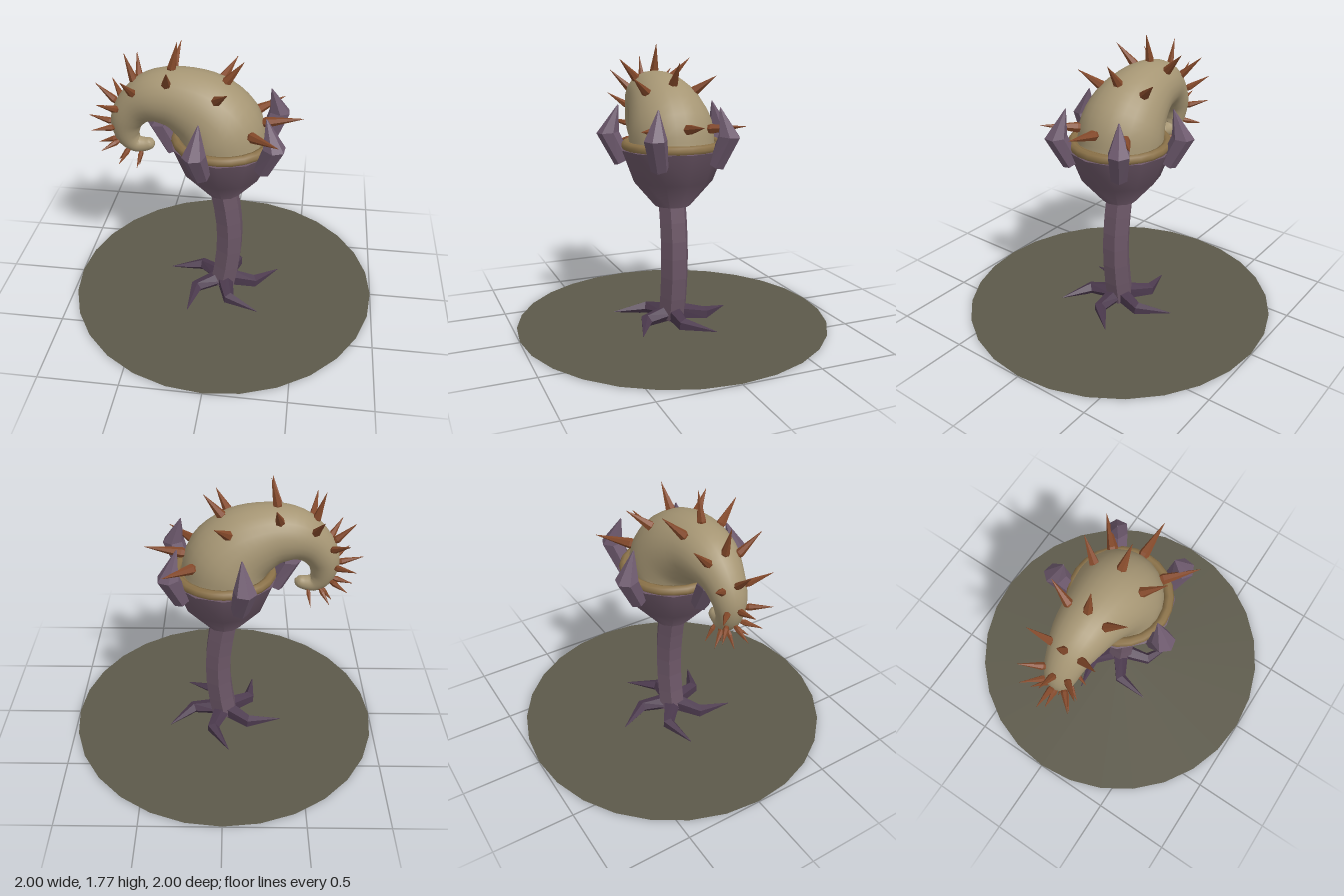
import * as THREE from 'three';
import { toCreasedNormals } from 'three/addons/utils/BufferGeometryUtils.js';

const V = (x, y, z = 0) => new THREE.Vector3(x, y, z);

function material(name, color, side = THREE.FrontSide) {
  const m = new THREE.MeshStandardMaterial({ color, side });
  m.name = name;
  return m;
}

// Capped tube with a radius for every point; crease 0 gives flat facets
function sweep(points, radii, sides, bin, crease = 0, phase = 0) {
  const pos = [], index = [], last = points.length - 1;
  points.forEach((p, i) => {
    const t = points[Math.min(i + 1, last)].clone().sub(points[Math.max(i - 1, 0)]).normalize();
    const n = bin.clone().cross(t).normalize();
    const b = t.clone().cross(n);
    for (let j = 0; j < sides; j++) {
      const a = phase + (j / sides) * Math.PI * 2;
      const v = p.clone().addScaledVector(n, radii[i] * Math.cos(a)).addScaledVector(b, radii[i] * Math.sin(a));
      pos.push(v.x, v.y, v.z);
    }
  });
  const start = pos.length / 3;
  pos.push(...points[0].toArray(), ...points[last].toArray());
  for (let j = 0; j < sides; j++) {
    const k = (j + 1) % sides;
    for (let i = 0; i < last; i++) {
      const a = i * sides, c = a + sides;
      index.push(a + j, a + k, c + k, a + j, c + k, c + j);
    }
    index.push(start, k, j, start + 1, last * sides + j, last * sides + k);
  }
  const g = new THREE.BufferGeometry();
  g.setAttribute('position', new THREE.Float32BufferAttribute(pos, 3));
  g.setIndex(index);
  if (crease) return toCreasedNormals(g, crease);
  const flat = g.toNonIndexed();
  flat.computeVertexNormals();
  return flat;
}

export function createModel() {
  const model = new THREE.Group();
  const Z = V(0, 0, 1), Y = V(0, 1, 0);
  const purple = material('dusty purple', 0x6b5666);
  const lilac = material('claw purple', 0x6e5a6e);
  const dark = material('root purple', 0x4c3a4e);
  const tan = material('bulb tan', 0xa69674);
  const ochre = material('rim ochre', 0x8a7148);
  const rust = material('spike rust', 0x84492a);
  const earth = material('ground earth', 0x5c594a, THREE.DoubleSide);

  const add = (name, geometry, mat) => {
    const m = new THREE.Mesh(geometry, mat);
    m.name = name;
    model.add(m);
    return m;
  };

  // Ground disc
  const ground = add('groundDisc', new THREE.CircleGeometry(1, 28), earth);
  ground.rotation.x = -Math.PI / 2;
  ground.position.y = 0.007;

  // Bowed six-sided stem
  const bow = new THREE.CatmullRomCurve3([V(-0.005, 0.03), V(0.03, 0.25), V(0.04, 0.44), V(0.03, 0.6), V(0, 0.79)]);
  const stemPoints = bow.getPoints(6);
  add('stem', sweep(stemPoints, stemPoints.map(() => 0.092), 6, Z, 0, Math.PI / 6), purple);

  // Five hooked roots
  const polar = (deg, r, y) => V(r * Math.cos(deg * Math.PI / 180), y, r * Math.sin(deg * Math.PI / 180));
  for (let i = 0; i < 5; i++) {
    const a = 49 + i * 72;
    const path = [polar(a + 25, 0.02, 0.06), polar(a + 25, 0.21, 0.042), polar(a, 0.39, 0.028)];
    add('root', sweep(path, [0.058, 0.042, 0.002], 5, Y), dark);
  }

  // Cup, its filling and its rim
  const profile = [[0.001, 0.775], [0.115, 0.775], [0.115, 0.776], [0.255, 0.94], [0.33, 1.14], [0.29, 1.15]];
  const cup = new THREE.LatheGeometry(profile.map(([x, y]) => new THREE.Vector2(x, y)), 12);
  add('cup', toCreasedNormals(cup, 0.7), purple);
  const filling = add('cupFilling', new THREE.CircleGeometry(0.3, 24), ochre);
  filling.rotation.x = -Math.PI / 2;
  filling.position.y = 1.165;
  const rim = add('cupRim', new THREE.TorusGeometry(0.292, 0.031, 8, 24), ochre);
  rim.rotation.x = Math.PI / 2;
  rim.position.y = 1.16;

  // Five claws around the cup
  const clawPath = [V(0.31, 1.06), V(0.4, 1.24), V(0.335, 1.41)];
  for (let i = 0; i < 5; i++) {
    const claw = add('claw', sweep(clawPath, [0.056, 0.07, 0.003], 6, Z), lilac);
    claw.rotation.y = -(36 + i * 72) * Math.PI / 180;
  }

  // Curled tapering bulb: x, y, radius along its spine
  const spine = [
    [0, 1.13, 0.265], [-0.03, 1.245, 0.265], [-0.13, 1.35, 0.235], [-0.285, 1.415, 0.19],
    [-0.425, 1.41, 0.16], [-0.535, 1.345, 0.123], [-0.6, 1.245, 0.1], [-0.6, 1.14, 0.076],
    [-0.555, 1.08, 0.056], [-0.495, 1.076, 0.044], [-0.455, 1.09, 0.034], [-0.436, 1.1, 0.005],
  ];
  const spread = (list) => new THREE.CatmullRomCurve3(list, false, 'catmullrom').getPoints(44);
  const bulbPoints = spread(spine.map(([x, y]) => V(x, y)));
  const bulbRadii = spread(spine.map(([, , r]) => V(r, 0))).map((v) => Math.max(v.x, 0.004));
  add('bulb', sweep(bulbPoints, bulbRadii, 24, Z, 1.0), tan);

  // Rows of three spikes: spine x, y, bulb radius, middle tip x, y, spike radius
  const rows = [
    [0, 1.24, 0.268, 0.48, 1.32, 0.033], [-0.13, 1.35, 0.235, 0.12, 1.665, 0.031],
    [-0.35, 1.425, 0.175, -0.27, 1.77, 0.029], [-0.5, 1.37, 0.138, -0.59, 1.68, 0.026],
    [-0.58, 1.29, 0.11, -0.78, 1.48, 0.023], [-0.605, 1.2, 0.09, -0.84, 1.26, 0.02],
    [-0.6, 1.13, 0.075, -0.79, 1.07, 0.018], [-0.565, 1.085, 0.06, -0.67, 0.95, 0.016],
    [-0.51, 1.075, 0.047, -0.54, 0.92, 0.014],
  ];
  for (const [x, y, r, tx, ty, w] of rows) {
    const out = V(tx - x, ty - y);
    const reach = out.length();
    out.normalize();
    for (const a of [-0.75, 0, 0.75]) {
      const dir = out.clone().multiplyScalar(Math.cos(a)).addScaledVector(Z, Math.sin(a));
      const at = (d) => V(x, y).addScaledVector(dir, d);
      const path = [at(r * 0.85), at(r * 0.85 + 0.035), at(reach)];
      add('spike', sweep(path, [w * 0.65, w, 0.001], 6, V(-out.y, out.x)), rust);
    }
  }
  return model;
}
